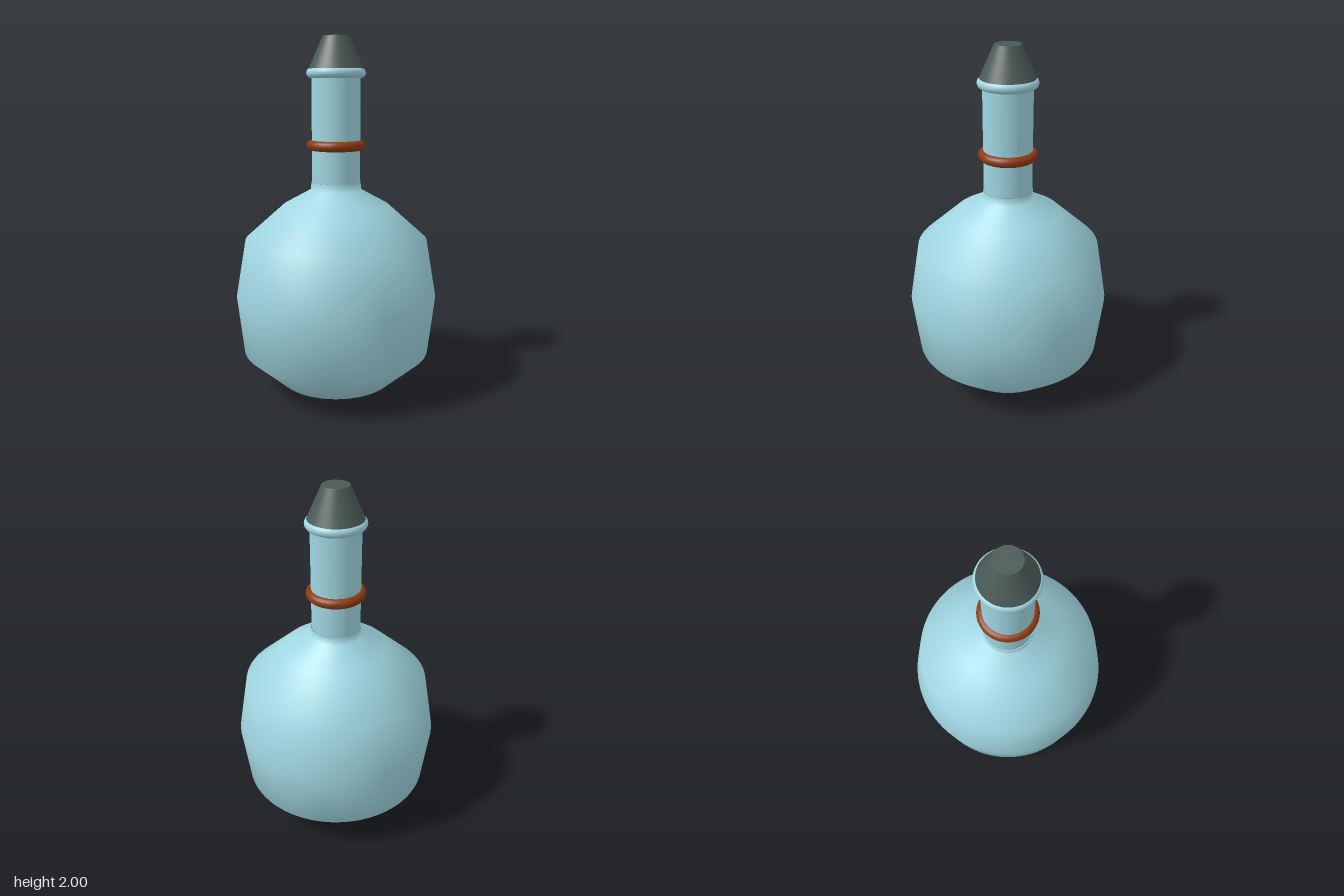
import * as THREE from 'three';

export function createModel() {
  const model = new THREE.Group();
  model.name = 'bottle';

  const material = (name, color, side = THREE.FrontSide) => {
    const m = new THREE.MeshStandardMaterial({ color, side });
    m.name = name;
    return m;
  };
  const glass = material('pale blue glass', 0x9fd5e0, THREE.DoubleSide);
  const copper = material('copper brown', 0x8b3a0e);
  const cork = material('dark grey green', 0x4a5a56);

  const add = (name, geometry, mat, y = 0) => {
    const mesh = new THREE.Mesh(geometry, mat);
    mesh.name = name;
    mesh.position.y = y;
    model.add(mesh);
    return mesh;
  };

  // Round belly with a few smooth-shaded profile steps
  const profile = [
    [0, 0], [0.33, 0.045], [0.535, 0.23], [0.572, 0.555],
    [0.515, 0.88], [0.297, 1.075], [0.143, 1.16], [0.138, 1.205],
  ].map(([x, y]) => new THREE.Vector2(x, y));
  add('body', new THREE.LatheGeometry(profile, 96), glass);

  // Straight neck, seated in the shoulder
  add('neck', new THREE.CylinderGeometry(0.135, 0.135, 0.6, 64), glass, 1.505);

  // Rings around the neck
  const ring = () => new THREE.TorusGeometry(0.135, 0.028, 20, 72).rotateX(Math.PI / 2);
  add('neckBand', ring(), copper, 1.41);
  add('lip', ring(), glass, 1.803);

  // Tapered stopper
  add('stopper', new THREE.CylinderGeometry(0.072, 0.155, 0.185, 64), cork, 1.9075);

  return model;
}
